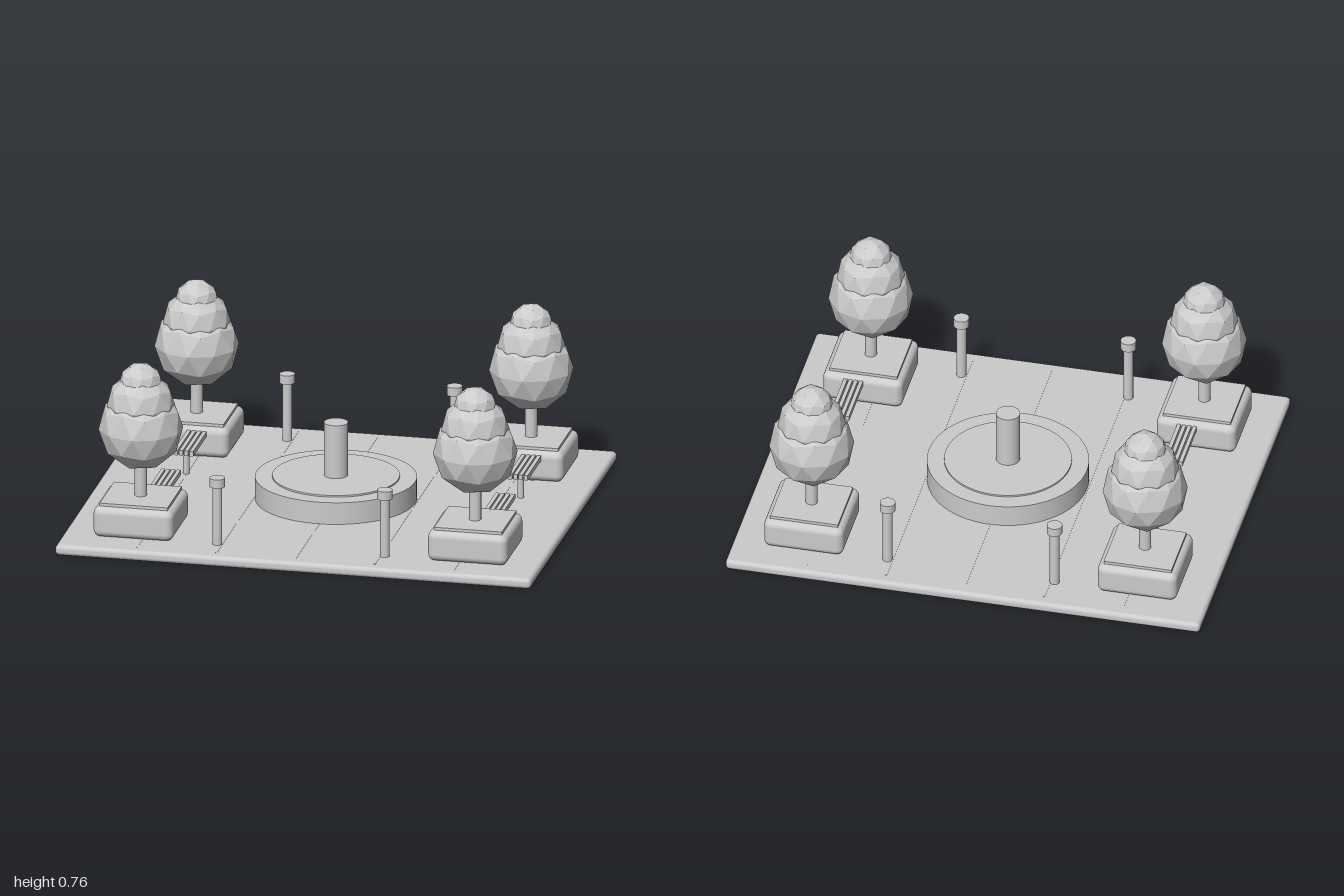
import * as THREE from 'three';
import { RoundedBoxGeometry } from 'three/addons/geometries/RoundedBoxGeometry.js';

const smooth = new THREE.MeshStandardMaterial({ color: 0xcccccc });
const faceted = new THREE.MeshStandardMaterial({ color: 0xcccccc, flatShading: true });
const GROUND = 0.045;

function add(parent, name, geometry, x, y, z, material = smooth) {
  const mesh = new THREE.Mesh(geometry, material);
  mesh.name = name;
  mesh.position.set(x, y, z);
  parent.add(mesh);
  return mesh;
}

// Upright cylinder between two heights
function post(parent, name, r, y0, y1, x = 0, z = 0, sides = 32) {
  return add(parent, name, new THREE.CylinderGeometry(r, r, y1 - y0, sides), x, (y0 + y1) / 2, z);
}

// Low-poly ball with a vertex at each pole
function leafBall(r) {
  return new THREE.IcosahedronGeometry(r, 1)
    .rotateX(-Math.atan((1 + Math.sqrt(5)) / 2))
    .rotateY(Math.PI / 2);
}

function createTree() {
  const tree = new THREE.Group();
  tree.name = 'plantedTree';
  add(tree, 'planter', new RoundedBoxGeometry(0.335, 0.13, 0.33, 4, 0.03), 0, GROUND + 0.065, 0);
  add(tree, 'soil', new THREE.BoxGeometry(0.285, 0.03, 0.275), 0, 0.172, 0);
  post(tree, 'trunk', 0.025, 0.17, 0.36, 0, 0, 20);
  [[0.175, 0.478], [0.14, 0.58], [0.09, 0.67]].forEach(([r, y], i) =>
    add(tree, `foliage${i + 1}`, leafBall(r), 0, y, 0, faceted));
  return tree;
}

// Slatted bench, its outer end tucked into the planter
function createBench(side) {
  const bench = new THREE.Group();
  bench.name = 'bench';
  for (let i = 0; i < 4; i++) {
    add(bench, 'slat', new THREE.BoxGeometry(0.016, 0.022, 0.29), (i - 1.5) * 0.022, 0.149, side * 0.263);
  }
  for (const z of [0.17, 0.4]) {
    post(bench, 'benchLeg', 0.013, GROUND, 0.14, 0, side * z, 16);
  }
  return bench;
}

function createLamp() {
  const lamp = new THREE.Group();
  lamp.name = 'lampPost';
  post(lamp, 'lampPole', 0.02, GROUND, 0.3, 0, 0, 24);
  post(lamp, 'lampHead', 0.032, 0.295, 0.333, 0, 0, 24);
  return lamp;
}

export function createModel() {
  const model = new THREE.Group();
  model.name = 'plaza';

  // Paved slab with fine joint strips
  add(model, 'slab', new RoundedBoxGeometry(2, GROUND, 1.66, 4, 0.018), 0, GROUND / 2, 0);
  for (let i = -2; i <= 2; i++) {
    add(model, 'pavingJoint', new THREE.BoxGeometry(0.008, 0.002, 1.56), i * 0.333, GROUND, 0);
  }

  // Central fountain
  const fountain = new THREE.Group();
  fountain.name = 'fountain';
  post(fountain, 'basin', 0.333, GROUND, 0.139, 0, 0, 64);
  post(fountain, 'water', 0.262, 0.13, 0.146, 0, 0, 64);
  post(fountain, 'column', 0.05, 0.14, 0.375, 0, 0, 32);
  model.add(fountain);

  // Trees, benches and lamps in every corner
  for (const sx of [-1, 1]) {
    for (const sz of [-1, 1]) {
      const tree = createTree();
      tree.position.set(sx * 0.703, 0, sz * 0.535);
      const bench = createBench(sz);
      bench.position.x = sx * 0.703 + 0.036;
      const lamp = createLamp();
      lamp.position.set(sx * 0.352, 0, sz * 0.667);
      model.add(tree, bench, lamp);
    }
  }
  return model;
}
